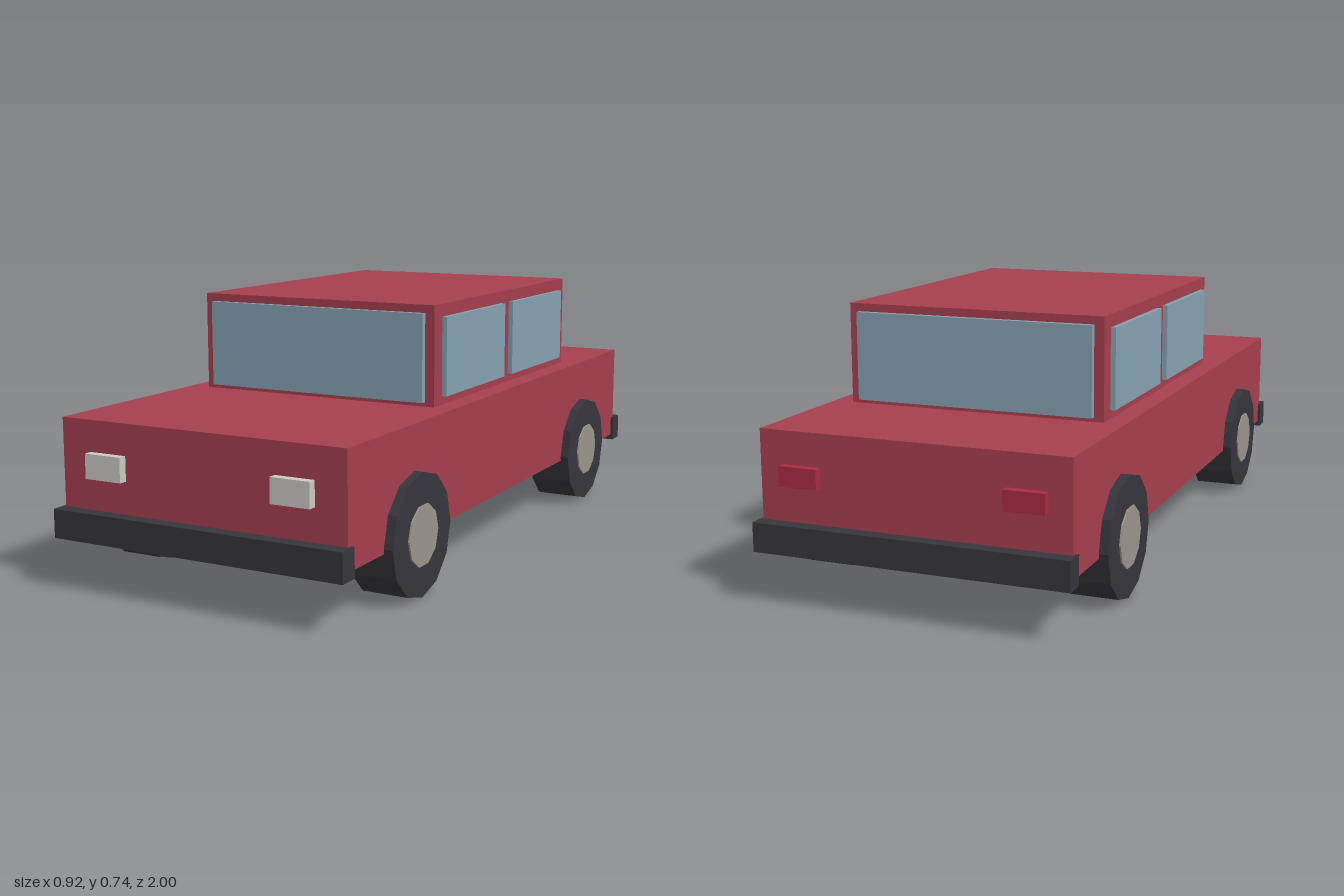
import * as THREE from 'three';

const paint = (name, color) => {
  const m = new THREE.MeshStandardMaterial({ color });
  m.name = name;
  return m;
};

export function createModel() {
  const car = new THREE.Group();
  car.name = 'car';
  const red = paint('bodyRed', 0xa63f4e);
  const glass = paint('windowGlass', 0x84a2b1);
  const dark = paint('darkRubber', 0x36353c);
  const metal = paint('hubMetal', 0x9a958a);
  const lamp = paint('headlightWhite', 0xcbc9c3);
  const tailRed = paint('tailLightRed', 0xa92c42);

  // Box given by its lower and upper limits on each axis
  const box = (name, mat, [x0, x1], [y0, y1], [z0, z1]) => {
    const mesh = new THREE.Mesh(new THREE.BoxGeometry(x1 - x0, y1 - y0, z1 - z0), mat);
    mesh.position.set((x0 + x1) / 2, (y0 + y1) / 2, (z0 + z1) / 2);
    mesh.name = name;
    car.add(mesh);
  };

  // Body and cabin
  box('body', red, [-0.428, 0.428], [0.155, 0.457], [-0.96, 0.96]);
  box('cabin', red, [-0.37, 0.37], [0.457, 0.735], [-0.582, 0.38]);

  // Front and rear glass
  box('windshield', glass, [-0.342, 0.342], [0.469, 0.713], [0.375, 0.397]);
  box('rearWindow', glass, [-0.342, 0.342], [0.469, 0.713], [-0.599, -0.577]);

  // Bumpers
  box('frontBumper', dark, [-0.436, 0.436], [0.138, 0.217], [0.942, 1]);
  box('rearBumper', dark, [-0.436, 0.436], [0.138, 0.217], [-1, -0.942]);

  // Wheels share one 12-sided tyre and one hub running through it
  const tyre = new THREE.CylinderGeometry(0.167, 0.167, 0.13, 12).rotateZ(Math.PI / 2).toNonIndexed();
  const hub = new THREE.CylinderGeometry(0.084, 0.084, 0.139, 10).rotateZ(Math.PI / 2).toNonIndexed();
  tyre.computeVertexNormals();
  hub.computeVertexNormals();

  for (const s of [1, -1]) {
    const side = s > 0 ? 'left' : 'right';
    const span = (a, b) => (s > 0 ? [a, b] : [-b, -a]);

    // Side windows
    box(side + 'FrontWindow', glass, span(0.36, 0.384), [0.481, 0.7], [-0.071, 0.332]);
    box(side + 'BackWindow', glass, span(0.36, 0.384), [0.481, 0.7], [-0.533, -0.13]);

    // Lights
    box(side + 'Headlight', lamp, span(0.226, 0.338), [0.305, 0.372], [0.95, 0.984]);
    box(side + 'TailLight', tailRed, span(0.255, 0.364), [0.314, 0.368], [-0.982, -0.95]);

    for (const z of [0.613, -0.613]) {
      const wheel = new THREE.Group();
      wheel.name = side + (z > 0 ? 'FrontWheel' : 'BackWheel');
      const t = new THREE.Mesh(tyre, dark);
      t.name = 'tyre';
      const h = new THREE.Mesh(hub, metal);
      h.name = 'hub';
      wheel.add(t, h);
      wheel.position.set(s * 0.388, 0.167, z);
      car.add(wheel);
    }
  }
  return car;
}
